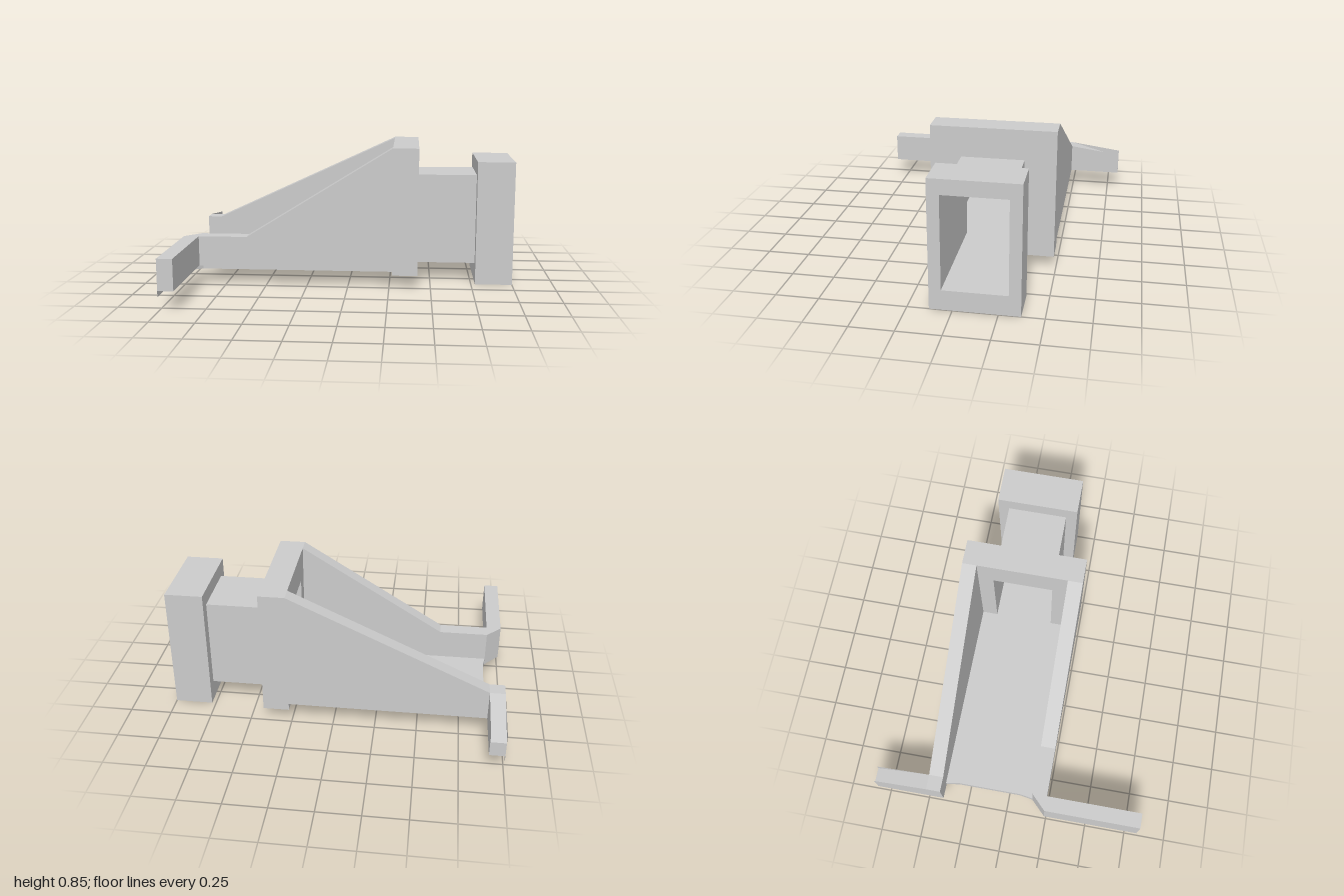
import * as THREE from 'three';

const material = new THREE.MeshStandardMaterial({ color: 0xcccccc, flatShading: true, side: THREE.DoubleSide });

const shapeOf = (pts) => new THREE.Shape(pts.map(([a, b]) => new THREE.Vector2(a, b)));
const rect = (z0, z1, y0, y1) => [[z0, y0], [z1, y0], [z1, y1], [z0, y1]];
const extrude = (shape, depth) => new THREE.ExtrudeGeometry(shape, { depth, bevelEnabled: false });

// Side profile [x, y] extruded from z0 to z1
const alongZ = (pts, z0, z1) => extrude(shapeOf(pts), z1 - z0).translate(0, 0, z0);

// Cross-section [z, y], with an optional hole, extruded from x0 to x1
function alongX(pts, x0, x1, hole) {
  const flip = (list) => list.map(([z, y]) => [-z, y]);
  const shape = shapeOf(flip(pts));
  if (hole) shape.holes.push(shapeOf(flip(hole)));
  return extrude(shape, x1 - x0).rotateY(Math.PI / 2).translate(x0, 0, 0);
}

// Plan outline [x, z] extruded from y0 to y1
const alongY = (pts, y0, y1) =>
  extrude(shapeOf(pts.map(([x, z]) => [x, -z])), y1 - y0).rotateX(-Math.PI / 2).translate(0, y0, 0);

// Thin flat polygon fanned from its first corner
function sheet(corners) {
  const pos = [];
  for (let i = 1; i < corners.length - 1; i++) pos.push(...corners[0], ...corners[i], ...corners[i + 1]);
  const g = new THREE.BufferGeometry();
  g.setAttribute('position', new THREE.Float32BufferAttribute(pos, 3));
  g.computeVertexNormals();
  return g;
}

export function createModel() {
  const model = new THREE.Group();
  const add = (name, geometry) => {
    const mesh = new THREE.Mesh(geometry, material);
    mesh.name = name;
    model.add(mesh);
  };

  // Rectangular duct: flange, thin neck and the hopper's end wall share one opening
  const opening = rect(-0.305, 0.06, 0.118, 0.667);
  add('flange', alongX(rect(-0.372, 0.128, 0, 0.755), 0.775, 1, opening));
  add('endWall', alongX(rect(-0.487, 0.24, 0.075, 0.845), 0.267, 0.422, opening));
  opening.forEach(([z, y], i) => {
    const [z2, y2] = opening[(i + 1) % 4];
    add('neckPanel', sheet([[0.422, y, z], [0.775, y, z], [0.775, y2, z2], [0.422, y2, z2]]));
  });

  // Hopper sides, one with a level step before the slope
  add('frontWall', alongZ(
    [[-0.91, 0.118], [0.267, 0.118], [0.267, 0.845], [-0.615, 0.3], [-0.91, 0.3]], 0.15, 0.24));
  add('backWall', alongZ(
    [[-0.91, 0.118], [0.267, 0.118], [0.267, 0.845], [-0.91, 0.3]], -0.487, -0.4));

  // Floor plate, its open edge slightly hollowed
  add('floor', alongY([[0.267, 0.15], [-0.91, 0.15], [-0.897, 0.07],
    [-0.897, -0.32], [-0.91, -0.4], [0.267, -0.4]], 0.075, 0.118));

  // Front arm with a chamfered inner corner
  add('frontArm', alongY([[-0.91, 0.15], [-1, 0.24], [-1, 0.82], [-0.91, 0.82]], 0.118, 0.3));

  // Back arm with a falling top and thin raised side edges
  add('backArm', alongX([[-0.4, 0.118], [-0.4, 0.3], [-0.487, 0.3], [-0.82, 0.208], [-0.82, 0.118]], -1, -0.91));
  for (const x of [-1, -0.91]) {
    add('backArmEdge', sheet([[x, 0.3, -0.487], [x, 0.208, -0.82], [x, 0.255, -0.82]]));
  }

  // Thin lips hanging below the arms and their inner corners
  const lip = (x0, z0, b0, x1, z1, b1) =>
    add('armLip', sheet([[x0, 0.118, z0], [x0, b0, z0], [x1, b1, z1], [x1, 0.118, z1]]));
  lip(-1, 0.82, 0.083, -1, 0.24, 0.083);
  lip(-1, 0.24, 0.083, -0.91, 0.15, 0.075);
  lip(-1, -0.82, 0.083, -1, -0.4, 0.083);
  lip(-1, -0.4, 0.083, -0.91, -0.4, 0.075);

  return model;
}
